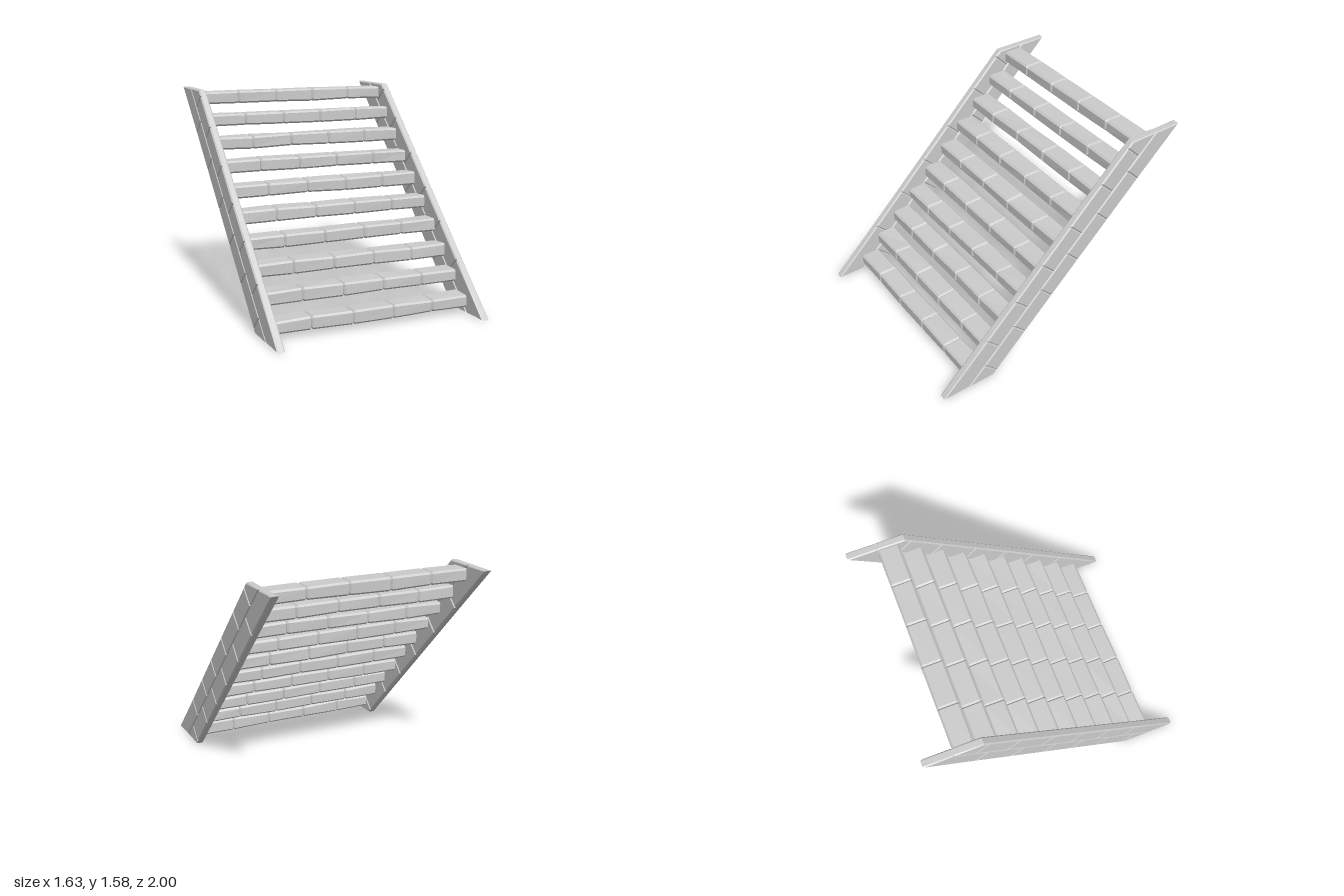
import * as THREE from 'three';
import { mergeGeometries } from 'three/addons/utils/BufferGeometryUtils.js';

const material = new THREE.MeshStandardMaterial({ color: 0xcccccc, flatShading: true });

// Repeatable noise in -1..1
function noise(a, b, c) {
  const v = Math.sin(a * 12.99 + b * 78.23 + c * 37.72 + 1.3) * 43758.55;
  return (v - Math.floor(v)) * 2 - 1;
}

// Prism with a (z, y) outline running from x0 to x1, chamfered at both ends
function block(outline, x0, x1, bevel) {
  const shape = new THREE.Shape(outline.map(([z, y]) => new THREE.Vector2(z, y)));
  const geometry = new THREE.ExtrudeGeometry(shape, {
    depth: x1 - x0 - 2 * bevel,
    bevelEnabled: true,
    bevelSegments: 1,
    bevelThickness: bevel,
    bevelSize: bevel,
    bevelOffset: -bevel,
  });
  geometry.translate(0, 0, bevel);
  geometry.rotateY(-Math.PI / 2);
  geometry.translate(x1, 0, 0);
  return geometry;
}

// Sloping side wall: two rows of blocks, rows follow z + y = c, joints follow z - y = d
const TOP = 1.58;
const rows = [
  { c0: 0.79, c1: 1.0, joints: [0.27, -0.22, -0.67, -1.14, -1.65, -2.08] },
  { c0: 0.58, c1: 0.79, joints: [0.52, 0.02, -0.44, -0.89, -1.39, -1.9] },
];

function stringerGeometry() {
  const point = (c, d) => [(c + d) / 2, (c - d) / 2];
  const parts = [];
  for (const { c0, c1, joints } of rows) {
    // Each cut gives d on the lower and upper row line; the ends are level
    const cuts = [[c0, c1], ...joints.map((d) => [d, d]), [c0 - 2 * TOP, c1 - 2 * TOP]];
    for (let i = 0; i < cuts.length - 1; i++) {
      const [a0, a1] = cuts[i];
      const [b0, b1] = cuts[i + 1];
      const outline = [point(c0, a0), point(c1, a1), point(c1, b1), point(c0, b0)];
      parts.push(block(outline, 0.757, 0.814, 0.009));
    }
  }
  return mergeGeometries(parts);
}

// Tread: a row of five chamfered blocks with slightly uneven corners
const treadJoints = [-0.775, -0.473, -0.158, 0.158, 0.472, 0.775];

function treadGeometry(n) {
  const h = 0.047, d = 0.077, b = 0.013;
  const outline = [
    [d - b, -h], [d, -h + b], [d, h - b], [d - b, h],
    [-d + b, h], [-d, h - b], [-d, -h + b], [-d + b, -h],
  ];
  const parts = [];
  for (let i = 0; i < 5; i++) {
    const x0 = treadJoints[i], x1 = treadJoints[i + 1];
    const geometry = block(outline, x0, x1, 0.011);
    const p = geometry.attributes.position;
    for (let v = 0; v < p.count; v++) {
      const joint = p.getX(v) < (x0 + x1) / 2 ? i : i + 1;
      const corner = (p.getY(v) > 0 ? 1 : 0) + (p.getZ(v) > 0 ? 2 : 0);
      p.setY(v, p.getY(v) + 0.005 * noise(n, joint, corner));
      p.setZ(v, p.getZ(v) + 0.002 * noise(n, joint, corner + 7));
    }
    geometry.computeVertexNormals();
    parts.push(geometry);
  }
  return mergeGeometries(parts);
}

export function createModel() {
  const group = new THREE.Group();
  group.name = 'staircase';

  // Side walls
  const left = stringerGeometry();
  const right = left.clone().translate(-2 * 0.7855, 0, 0);
  [['leftStringer', left], ['rightStringer', right]].forEach(([name, geometry]) => {
    const mesh = new THREE.Mesh(geometry, material);
    mesh.name = name;
    group.add(mesh);
  });

  // Ten open treads
  for (let n = 0; n < 10; n++) {
    const tread = new THREE.Mesh(treadGeometry(n), material);
    tread.name = `tread${n + 1}`;
    tread.position.set(0, 0.088 + n * 0.158, 0.709 - n * 0.1573);
    group.add(tread);
  }
  return group;
}
